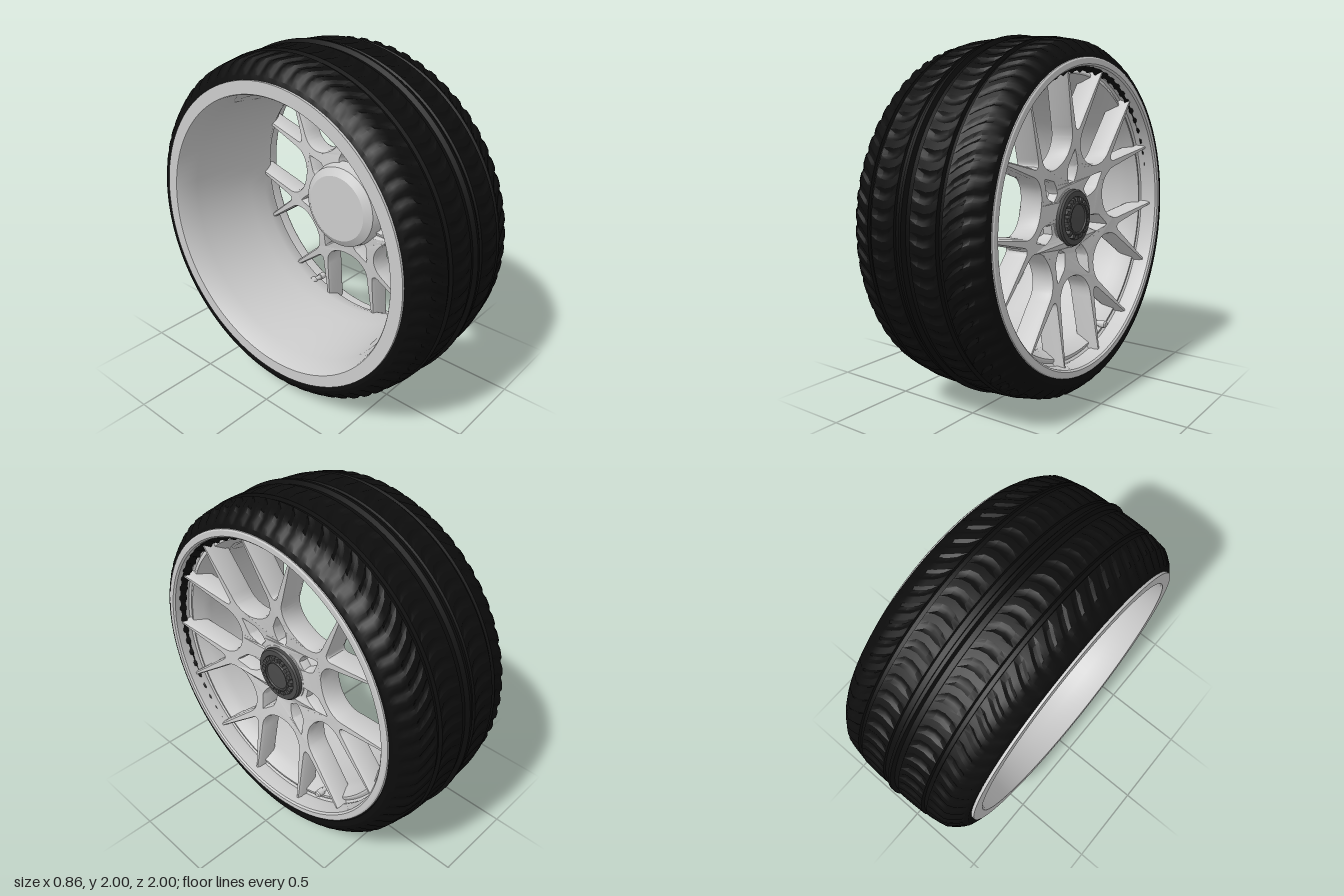
import * as THREE from 'three';
import { toCreasedNormals } from 'three/addons/utils/BufferGeometryUtils.js';

const grey = new THREE.MeshStandardMaterial({ color: 0xcccccc });
const rubber = new THREE.MeshStandardMaterial({ color: 0x0c0c0c });
const dark = new THREE.MeshStandardMaterial({ color: 0x4a4a4a });
const COUNT = 7; // forked spokes

function mesh(name, geometry, material) {
  const m = new THREE.Mesh(geometry, material);
  m.name = name;
  return m;
}

// Turned part around the x axis, profile given as [radius, x] pairs
function turned(name, profile, material, segments = 96, crease = 0.5) {
  const g = new THREE.LatheGeometry(profile.map(([r, x]) => new THREE.Vector2(r, x)), segments);
  g.rotateZ(-Math.PI / 2);
  return mesh(name, toCreasedNormals(g, crease), material);
}

// Tyre: half profile mirrored across x = 0, with slanted lugs pressed into the tread
function makeTyre() {
  const half = [[1, 0.008], [0.978, 0.018], [0.978, 0.045], [0.988, 0.05], [0.988, 0.09], [0.987, 0.13],
    [0.985, 0.17], [0.983, 0.205], [0.965, 0.21], [0.965, 0.23], [0.977, 0.235], [0.972, 0.265],
    [0.966, 0.3], [0.958, 0.335], [0.94, 0.36], [0.915, 0.39], [0.89, 0.41], [0.865, 0.42], [0.835, 0.415], [0.80, 0.36]];
  const profile = [...half.map(([r, x]) => [r, -x]).reverse(), ...half];
  const lugs = 64, perLug = 5, segments = lugs * perLug;
  const g = new THREE.LatheGeometry(profile.map(([r, x]) => new THREE.Vector2(r, x)), segments);
  const p = g.attributes.position;
  for (let i = 0; i <= segments; i++) {
    for (let j = 0; j < profile.length; j++) {
      const [r, x] = profile[j];
      const a = Math.abs(x);
      const lug = (a > 0.08 && a < 0.18) || (a > 0.25 && a < 0.4);
      const sipe = lug && i % perLug < 2 ? 0.009 : 0;
      const slant = a < 0.36 ? 0.07 * Math.sin(a * 12) : 0.07 * Math.sin(0.36 * 12);
      const t = (i / segments) * Math.PI * 2 + slant;
      p.setXYZ(i * profile.length + j, (r - sipe) * Math.sin(t), x, (r - sipe) * Math.cos(t));
    }
  }
  g.rotateZ(-Math.PI / 2);
  return mesh('tyre', toCreasedNormals(g, 0.45), rubber);
}

// Seven forked spokes cut from one star outline, dished towards the hub
function makeSpokes() {
  const shape = new THREE.Shape();
  for (let k = 0; k < COUNT; k++) {
    const a = (k / COUNT) * Math.PI * 2, c = Math.cos(a), s = Math.sin(a);
    const at = (x, y) => [x * c - y * s, x * s + y * c];
    const line = (x, y) => shape.lineTo(...at(x, y));
    const curve = (x1, y1, x2, y2) => shape.quadraticCurveTo(...at(x1, y1), ...at(x2, y2));
    if (k === 0) shape.moveTo(...at(0.143, 0.297));
    curve(0.053, 0.34, 0.053, 0.43);
    curve(0.055, 0.46, 0.075, 0.5);
    line(0.193, 0.79);
    line(0.169, 0.796);
    line(0.024, 0.51);
    curve(0, 0.455, -0.024, 0.51);
    line(-0.169, 0.796);
    line(-0.193, 0.79);
    line(-0.075, 0.5);
    curve(-0.055, 0.46, -0.053, 0.43);
    curve(-0.053, 0.34, -0.143, 0.297);

    // Small window at the root of each fork
    const hole = new THREE.Path();
    hole.moveTo(...at(0, 0.36));
    hole.quadraticCurveTo(...at(0.02, 0.32), ...at(0.04, 0.28));
    hole.quadraticCurveTo(...at(0.04, 0.23), ...at(0.022, 0.2));
    hole.lineTo(...at(-0.022, 0.2));
    hole.quadraticCurveTo(...at(-0.04, 0.23), ...at(-0.04, 0.28));
    hole.quadraticCurveTo(...at(-0.02, 0.32), ...at(0, 0.36));
    shape.holes.push(hole);
  }
  const g = new THREE.ExtrudeGeometry(shape, {
    depth: 0.09, curveSegments: 8, bevelEnabled: true,
    bevelSize: 0.008, bevelOffset: -0.008, bevelThickness: 0.02, bevelSegments: 1,
  });
  const p = g.attributes.position;
  for (let i = 0; i < p.count; i++) {
    const r = Math.hypot(p.getX(i), p.getY(i));
    p.setZ(i, p.getZ(i) + 0.19 + 0.14 * Math.max(r - 0.2, 0));
  }
  g.rotateY(Math.PI / 2);
  return mesh('spokes', toCreasedNormals(g, 0.5), grey);
}

// Dark centre lock with a toothed ring
function makeCentreLock() {
  const group = new THREE.Group();
  group.name = 'centreLock';
  group.add(turned('lockFlange', [[0.155, 0.27], [0.155, 0.325], [0.147, 0.335], [0.118, 0.335], [0.112, 0.318], [0, 0.318]], dark, 64));
  group.add(turned('lockCap', [[0.094, 0.3], [0.094, 0.345], [0.088, 0.352], [0.08, 0.352], [0.076, 0.344], [0, 0.346]], dark, 48));
  const teeth = 16;
  for (let i = 0; i < teeth; i++) {
    const a = (i / teeth) * Math.PI * 2;
    const tooth = mesh('lockTooth', new THREE.BoxGeometry(0.045, 0.026, 0.022), dark);
    tooth.position.set(0.325, 0.102 * Math.cos(a), 0.102 * Math.sin(a));
    tooth.rotation.x = a;
    group.add(tooth);
  }
  return group;
}

// Valve stem standing on the barrel
function makeValve() {
  const valve = turned('valve', [[0.026, 0], [0.026, 0.03], [0.015, 0.04], [0.015, 0.08],
    [0.021, 0.082], [0.021, 0.12], [0.015, 0.128], [0, 0.128]], grey, 16);
  valve.position.set(0.23, -0.675, -0.315);
  return valve;
}

export function createModel() {
  const model = new THREE.Group();
  model.name = 'wheel';

  const tyre = makeTyre();
  tyre.position.y = 1;
  model.add(tyre);

  const wheel = new THREE.Group();
  wheel.name = 'rimAssembly';
  wheel.position.set(0, 1.02, 0.012);
  // Rim: outer wall back to front, front lip and ledge, then the barrel
  wheel.add(turned('rim', [[0.848, -0.432], [0.848, -0.40], [0.79, -0.36], [0.77, 0.0], [0.81, 0.33],
    [0.848, 0.40], [0.848, 0.425], [0.84, 0.43], [0.812, 0.43], [0.803, 0.42], [0.797, 0.345], [0.802, 0.325],
    [0.79, 0.315], [0.775, 0.325], [0.765, 0.325], [0.735, 0.27], [0.725, 0.22], [0.727, 0.1],
    [0.75, -0.3], [0.775, -0.425], [0.78, -0.432], [0.848, -0.432]], grey));
  wheel.add(makeSpokes());
  // Hub body behind the spokes
  wheel.add(turned('hub', [[0, 0.1], [0.2, 0.1], [0.245, 0.13], [0.262, 0.2], [0.225, 0.235], [0.175, 0.27], [0.165, 0.305], [0, 0.305]], grey, 70));
  wheel.add(makeCentreLock(), makeValve());
  model.add(wheel);
  return model;
}
